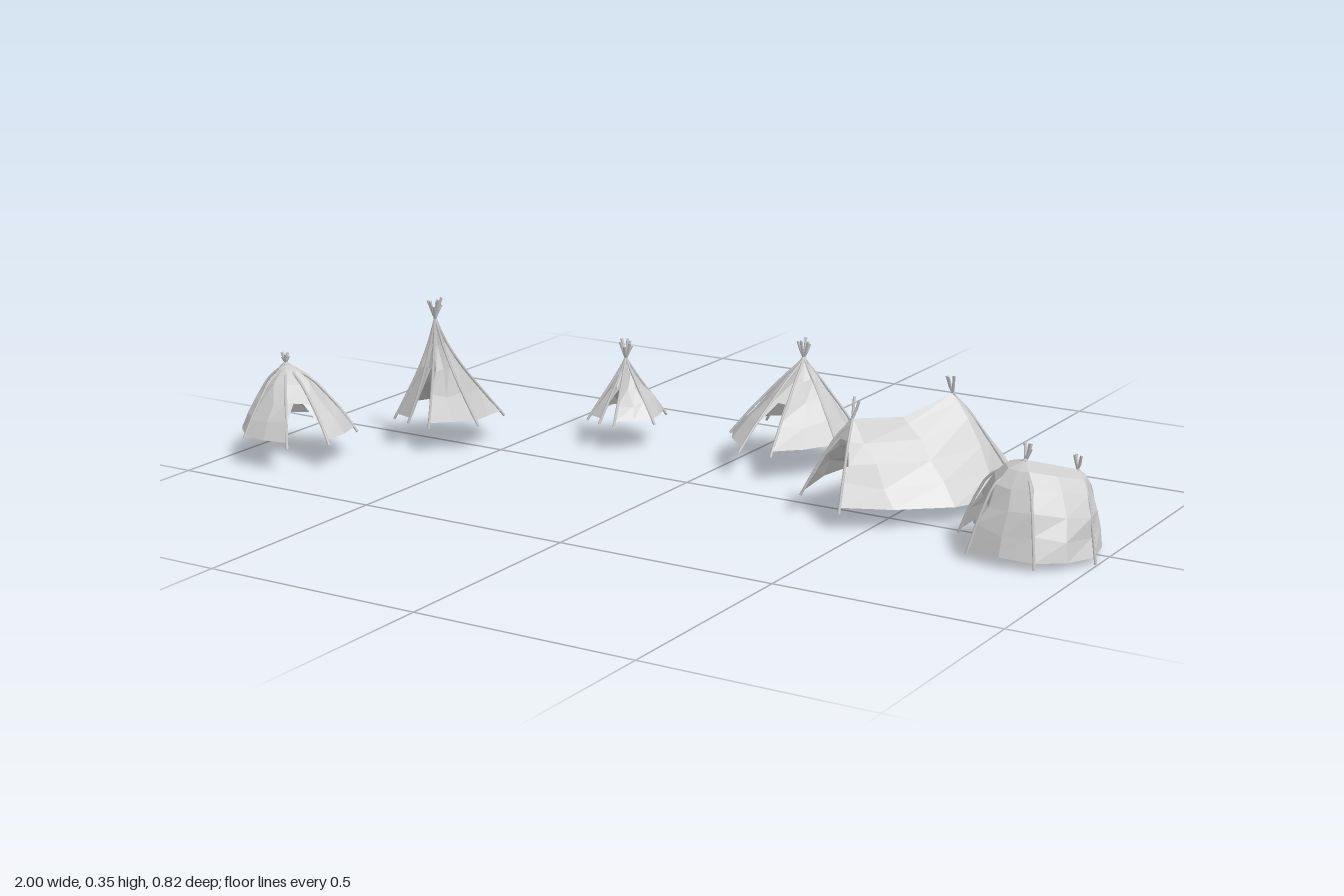
import * as THREE from 'three';

const cloth = new THREE.MeshStandardMaterial({ color: 0xcccccc, flatShading: true, side: THREE.DoubleSide });
const wood = new THREE.MeshStandardMaterial({ color: 0xcccccc });
const LEVELS = [0, 0.25, 0.5, 0.75, 0.92, 1];

function seeded(seed) {
  return () => ((seed = (seed * 16807) % 2147483647) / 2147483647) - 0.5;
}

// Egg-shaped hem, open at the door, with every other corner drawn in a little
function makeHem({ x, z, width, front, back, yaw, gap, sides, scallop = 0.03, base, slope = 0 }) {
  return Array.from({ length: sides }, (_, i) => {
    const a = gap + (2 * (Math.PI - gap) * i) / (sides - 1);
    const r = i % 2 ? 1 - scallop : 1;
    const ahead = Math.cos(a) * r * (Math.cos(a) > 0 ? front : back);
    const aside = Math.sin(a) * r * width;
    const p = new THREE.Vector3(
      x + Math.sin(yaw) * ahead + Math.cos(yaw) * aside, 0,
      z + Math.cos(yaw) * ahead - Math.sin(yaw) * aside);
    p.y = base + slope * (p.x - x);
    return p;
  });
}

// Point on the ridge that a hem corner is drawn up to
function ridgePoint(tent, corner) {
  const top = tent.peak.clone();
  if (!tent.frontPeak) return { top, s: 0 };
  const dx = tent.frontPeak.x - top.x, dz = tent.frontPeak.z - top.z;
  const along = ((corner.x - top.x) * dx + (corner.z - top.z) * dz) / (dx * dx + dz * dz);
  const s = Math.round(THREE.MathUtils.clamp(along, 0, 1) * 2) / 2;
  top.lerp(tent.frontPeak, s);
  top.y -= tent.sag * 4 * s * (1 - s);
  return { top, s };
}

// Points up the wall from a hem corner: bulge below 1 is domed, above 1 hollow
function wallLine(bulge, corner, top) {
  return LEVELS.map(t => {
    const k = Math.pow(1 - t, bulge);
    return new THREE.Vector3(top.x + (corner.x - top.x) * k, corner.y + (top.y - corner.y) * t, top.z + (corner.z - top.z) * k);
  });
}

function makeCover(tent, hem, random) {
  const columns = hem.map(corner => {
    const line = wallLine(tent.bulge, corner, ridgePoint(tent, corner).top);
    // slight creases between hem and ridge
    line.slice(1, 4).forEach(p => p.add(new THREE.Vector3(random(), random(), random()).multiplyScalar(0.012)));
    return line;
  });
  const pos = [];
  const tri = (...pts) => pts.forEach(p => pos.push(p.x, p.y, p.z));
  const r = tent.doorRow;
  columns.forEach((col, i) => {
    const isDoor = i === columns.length - 1;
    const next = columns[(i + 1) % columns.length];
    for (let j = isDoor ? r : 0; j < LEVELS.length - 1; j++) {
      tri(col[j], next[j], next[j + 1]);
      tri(col[j], next[j + 1], col[j + 1]);
    }
    // slanted upper corners of the doorway
    if (isDoor) {
      tri(col[r - 1], col[r].clone().lerp(next[r], 0.3), col[r]);
      tri(next[r - 1], next[r], col[r].clone().lerp(next[r], 0.7));
    }
  });
  const geo = new THREE.BufferGeometry();
  geo.setAttribute('position', new THREE.Float32BufferAttribute(pos, 3));
  geo.computeVertexNormals();
  const mesh = new THREE.Mesh(geo, cloth);
  mesh.name = 'cover';
  return mesh;
}

// Pole following the wall, its foot in the ground and its tip crossing the peak
function makePole(tent, corner, top, random) {
  const line = wallLine(tent.bulge, corner, top);
  const out = new THREE.Vector3(corner.x - top.x, 0, corner.z - top.z).normalize();
  const tip = top.clone().addScaledVector(out, -0.4 * tent.tip);
  tip.y += tent.tip * (1 + 0.5 * random());
  const foot = corner.clone().addScaledVector(out, 0.008);
  foot.y -= 0.012;
  const path = [foot, ...line.slice(1, 4).map(p => p.addScaledVector(out, 0.003)), top, tip];
  const mesh = new THREE.Mesh(new THREE.TubeGeometry(new THREE.CatmullRomCurve3(path), 12, 0.0032, 5), wood);
  mesh.name = 'pole';
  return mesh;
}

function makeTent(name, tent) {
  const random = seeded(1234 + name.length * 777);
  const hem = makeHem(tent);
  const group = new THREE.Group();
  group.name = name;
  group.add(makeCover(tent, hem, random));
  hem.forEach((corner, i) => {
    const { top, s } = ridgePoint(tent, corner);
    const isDoorEdge = i === hem.length - 1;
    if ((i % 2 === 0 || isDoorEdge) && s !== 0.5) group.add(makePole(tent, corner, top, random));
  });
  return group;
}

export function createModel() {
  const camp = new THREE.Group();
  camp.name = 'tentCamp';
  const at = (x, y, z) => new THREE.Vector3(x, y, z);

  // low rounded tent
  camp.add(makeTent('roundTent', {
    x: -0.865, z: 0.28, width: 0.128, front: 0.14, back: 0.13, yaw: 0.85, gap: 0.36, sides: 13,
    base: 0.072, bulge: 0.72, doorRow: 2, tip: 0.02, peak: at(-0.9, 0.215, 0.27),
  }));
  // tall slender tent with a scalloped hem
  camp.add(makeTent('tallTent', {
    x: -0.65, z: -0.01, width: 0.12, front: 0.125, back: 0.12, yaw: 0, gap: 0.27, sides: 14, scallop: 0.1,
    base: 0.075, bulge: 1.4, doorRow: 2, tip: 0.04, peak: at(-0.64, 0.305, 0.05),
  }));
  // smallest tent
  camp.add(makeTent('smallTent', {
    x: -0.285, z: -0.205, width: 0.085, front: 0.09, back: 0.085, yaw: 0, gap: 0.25, sides: 12, scallop: 0.08,
    base: 0.075, bulge: 1.2, doorRow: 2, tip: 0.035, peak: at(-0.285, 0.205, -0.2),
  }));
  // cone tent with long front flaps
  camp.add(makeTent('flapTent', {
    x: 0.12, z: -0.29, width: 0.14, front: 0.2, back: 0.11, yaw: 0, gap: 0.28, sides: 13,
    base: 0.073, bulge: 1, doorRow: 2, tip: 0.035, peak: at(0.12, 0.235, -0.31),
  }));
  // large tent with a sagging ridge between two peaks
  camp.add(makeTent('longTent', {
    x: 0.53, z: -0.18, width: 0.17, front: 0.34, back: 0.18, yaw: -0.44, gap: 0.38, sides: 13,
    base: 0.048, slope: -0.06, bulge: 0.88, doorRow: 3, tip: 0.035, sag: 0.025,
    peak: at(0.55, 0.24, -0.19), frontPeak: at(0.43, 0.22, 0.04),
  }));
  // domed tent, highest toward its door
  camp.add(makeTent('domeTent', {
    x: 0.845, z: 0.04, width: 0.148, front: 0.15, back: 0.147, yaw: -0.95, gap: 0.42, sides: 12,
    base: 0.025, slope: -0.065, bulge: 0.45, doorRow: 2, tip: 0.03, sag: 0,
    peak: at(0.92, 0.172, -0.01), frontPeak: at(0.84, 0.2, 0.07),
  }));
  return camp;
}
